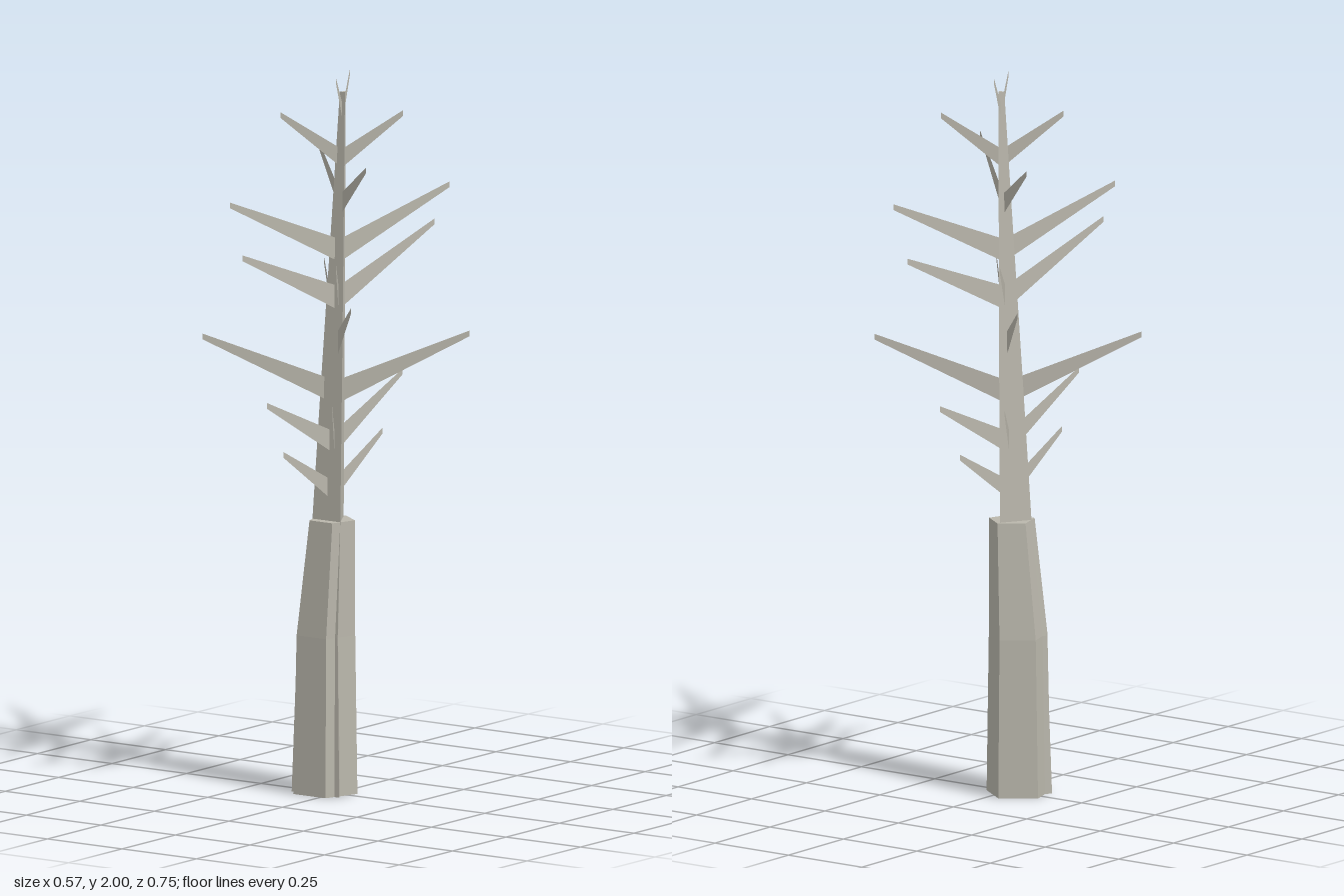
import * as THREE from 'three';

// Trunk centre line: [height, x offset, core radius]
const SPINE = [
  [0, -0.035, 0.092], [0.44, -0.033, 0.078], [0.76, -0.012, 0.054],
  [1.13, 0.0, 0.041], [1.5, 0.012, 0.027], [1.95, 0.026, 0.01],
];
// Lower bark sleeve around the core
const SLEEVE = [[0, -0.035, 0.092], [0.44, -0.033, 0.084], [0.76, -0.012, 0.065]];

// Opposed branch pairs: [tip height, tip x, tip z] relative to the trunk centre
const BRANCHES = [
  [0.98, 0.005, -0.225], [1.13, 0.005, -0.31], [1.13, 0.175, 0.255],
  [1.28, 0.283, -0.23], [1.42, 0.257, 0.295], [1.545, 0.213, 0.31],
  [1.545, 0.055, -0.373], [1.67, 0.153, -0.3], [1.785, 0.202, 0.165],
  [1.895, 0.127, -0.11], [2.0, 0.016, 0.055],
];

// Prism with a given number of sides, lofted through rings
function loft(rings, sides) {
  const geo = new THREE.CylinderGeometry(1, 1, 1, sides, rings.length - 1);
  geo.rotateY(Math.PI); // one corner points to the back
  const p = geo.attributes.position;
  for (let i = 0; i < p.count; i++) {
    const k = Math.round((p.getY(i) + 0.5) * (rings.length - 1));
    const [y, cx, r] = rings[k];
    p.setXYZ(i, cx + p.getX(i) * r, y, p.getZ(i) * r);
  }
  const flat = geo.toNonIndexed();
  flat.computeVertexNormals();
  return flat;
}

function centreAt(y) {
  for (let i = 1; i < SPINE.length; i++) {
    const [y0, x0] = SPINE[i - 1], [y1, x1] = SPINE[i];
    if (y <= y1) return x0 + (x1 - x0) * (y - y0) / (y1 - y0);
  }
  return SPINE[SPINE.length - 1][1];
}

// Flat blade, broad at the trunk and narrow at the raised tip
function blade(length) {
  const s = new THREE.Shape();
  s.moveTo(0, -0.12 - 0.22 * length);
  s.lineTo(length, -0.016);
  s.lineTo(length, 0);
  s.lineTo(0, -0.08 - 0.15 * length);
  s.closePath();
  return new THREE.ShapeGeometry(s);
}

export function createModel() {
  const model = new THREE.Group();
  model.name = 'bareTree';
  const bark = new THREE.MeshStandardMaterial({ color: 0xbab7ac, flatShading: true });
  bark.name = 'paleBark';
  bark.side = THREE.DoubleSide;

  const add = (name, geo) => {
    const mesh = new THREE.Mesh(geo, bark);
    mesh.name = name;
    model.add(mesh);
    return mesh;
  };

  add('trunkCore', loft(SPINE, 3));
  add('barkSleeve', loft(SLEEVE, 5));

  // Each pair lies in one upright plane through the trunk
  for (const [y, x, z] of BRANCHES) {
    const geo = blade(Math.hypot(x, z));
    for (const side of [1, -1]) {
      const branch = add('branch', geo);
      branch.position.set(centreAt(y - 0.12), y, 0);
      branch.rotation.y = Math.atan2(-z * side, x * side);
    }
  }
  return model;
}
